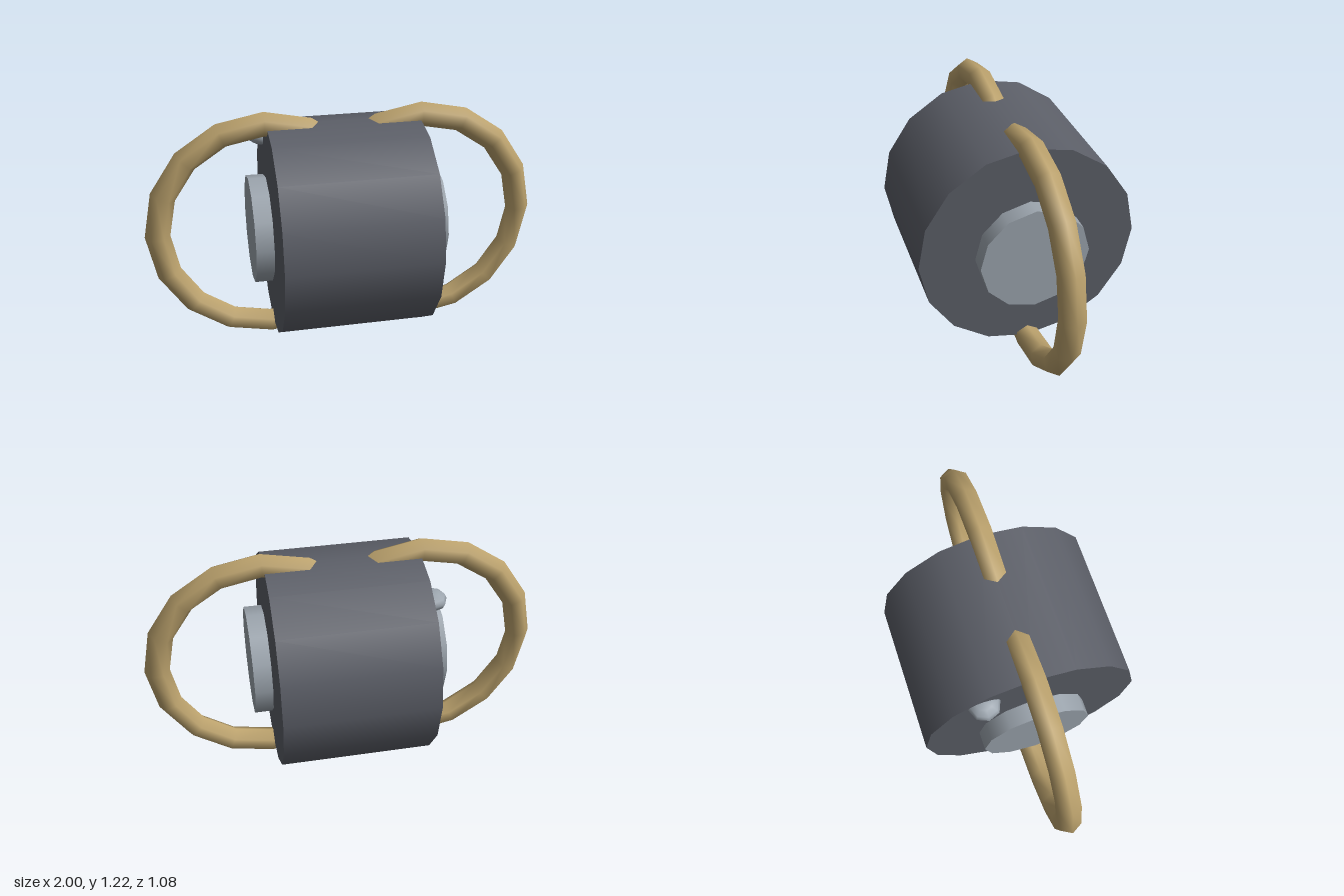
import * as THREE from 'three';

const mat = (name, color) => {
  const m = new THREE.MeshStandardMaterial({ color });
  m.name = name;
  return m;
};

export function createModel() {
  const group = new THREE.Group();
  const darkMetal = mat('dark metal', 0x5c5f68);
  const paleMetal = mat('pale metal', 0x9ca5ae);
  const brass = mat('brass', 0xbfa56f);
  const centreY = 0.61;

  const add = (name, geometry, material, x, y, z) => {
    const mesh = new THREE.Mesh(geometry, material);
    mesh.name = name;
    mesh.position.set(x, y, z);
    group.add(mesh);
    return mesh;
  };
  // Cylinder lying along x
  const disc = (radius, length, sides) =>
    new THREE.CylinderGeometry(radius, radius, length, sides).rotateZ(Math.PI / 2);

  // Main drum
  add('drum', disc(0.542, 0.758, 16), darkMetal, 0, centreY, 0);

  // Hub and ring handle on each end
  for (const [side, s] of [['left', 1], ['right', -1]]) {
    add(side + 'Hub', disc(0.271, 0.088, 12), paleMetal, s * 0.434, centreY, 0);
    const ring = new THREE.TorusGeometry(0.5475, 0.0625, 6, 16);
    add(side + 'Ring', ring, brass, s * 0.39, centreY, 0);
  }

  // Small button on the right end, towards the back
  const button = add('button', new THREE.SphereGeometry(0.077, 8, 6), paleMetal, -0.38, 1.022, -0.232);
  button.scale.y = 0.62;

  return group;
}
